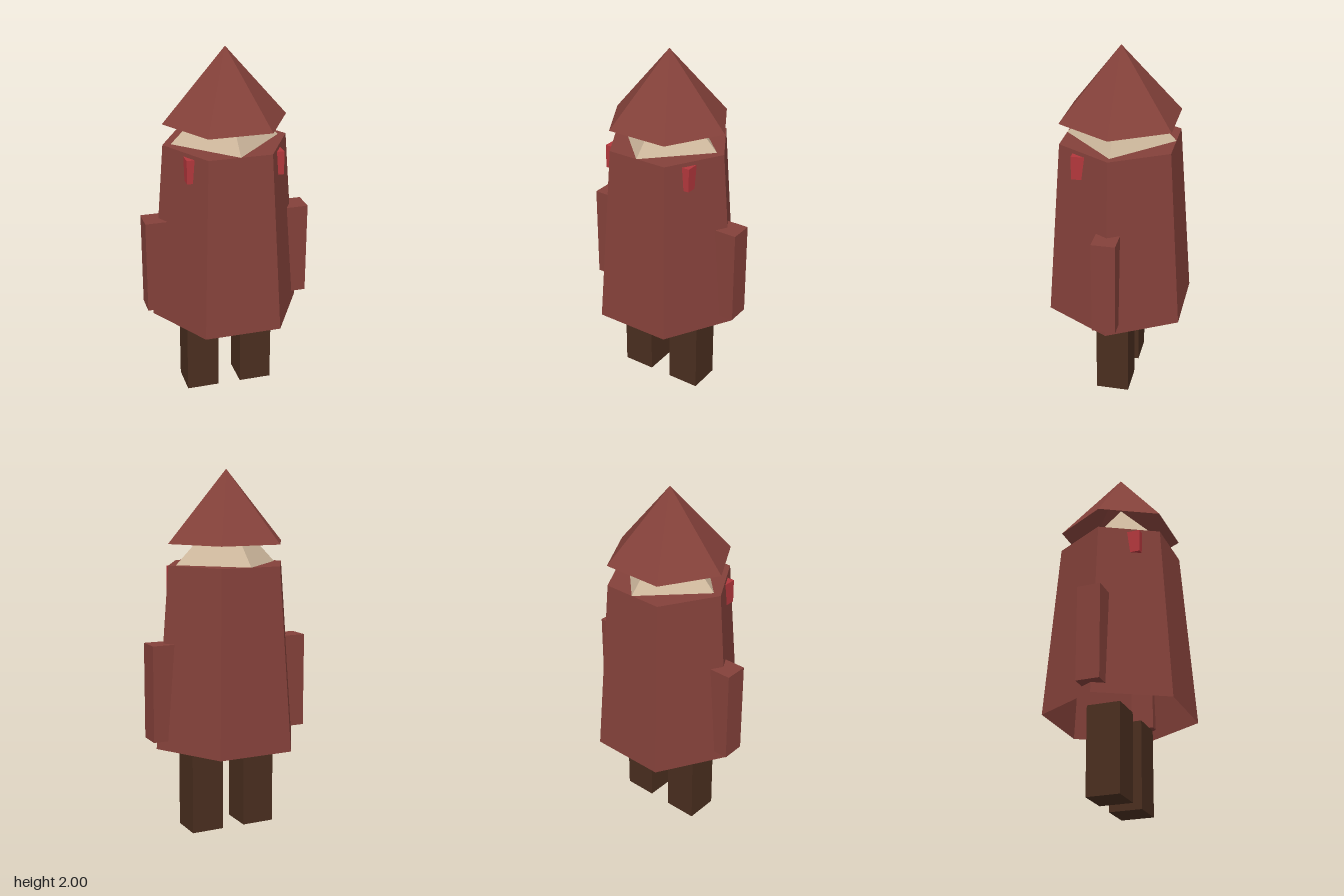
import * as THREE from 'three';

const paint = (color) => new THREE.MeshStandardMaterial({ color, flatShading: true, side: THREE.DoubleSide });

export function createModel() {
  const model = new THREE.Group();
  const cloth = paint(0x84413a);
  const skin = paint(0xcdb79c);
  const boot = paint(0x4a2e1f);
  const red = paint(0xb2373c);

  const add = (name, geometry, material, x, y, z) => {
    const mesh = new THREE.Mesh(geometry, material);
    mesh.name = name;
    mesh.position.set(x, y, z);
    model.add(mesh);
    return mesh;
  };

  // Six-sided robe, open below, with corners on the x axis
  const robeTop = 0.345, robeBottom = 0.425, turn = Math.PI / 6;
  add('robe', new THREE.CylinderGeometry(robeTop, robeBottom, 1.005, 6, 1, true, turn), cloth, 0, 0.9875, 0);
  const shoulders = add('shoulders', new THREE.CircleGeometry(robeTop, 6), cloth, 0, 1.49, 0);
  shoulders.rotation.x = -Math.PI / 2;

  // Eight-faced head half sunk into the robe, under an open pointed hood
  add('head', new THREE.OctahedronGeometry(0.3), skin, 0, 1.49, 0);
  add('hood', new THREE.ConeGeometry(robeTop, 0.395, 6, 1, true, turn), cloth, 0, 1.8025, 0);

  // Paired limbs and cloak clasps
  for (const [side, s] of [['left', 1], ['right', -1]]) {
    add(side + 'Leg', new THREE.BoxGeometry(0.185, 0.487, 0.185), boot, s * 0.1575, 0.2435, 0);
    add(side + 'Arm', new THREE.BoxGeometry(0.13, 0.53, 0.13), cloth, s * 0.4, 0.805, 0);
    add(side + 'Clasp', new THREE.BoxGeometry(0.132, 0.13, 0.132), red, s * 0.2, 1.403, 0.147);
  }
  return model;
}
